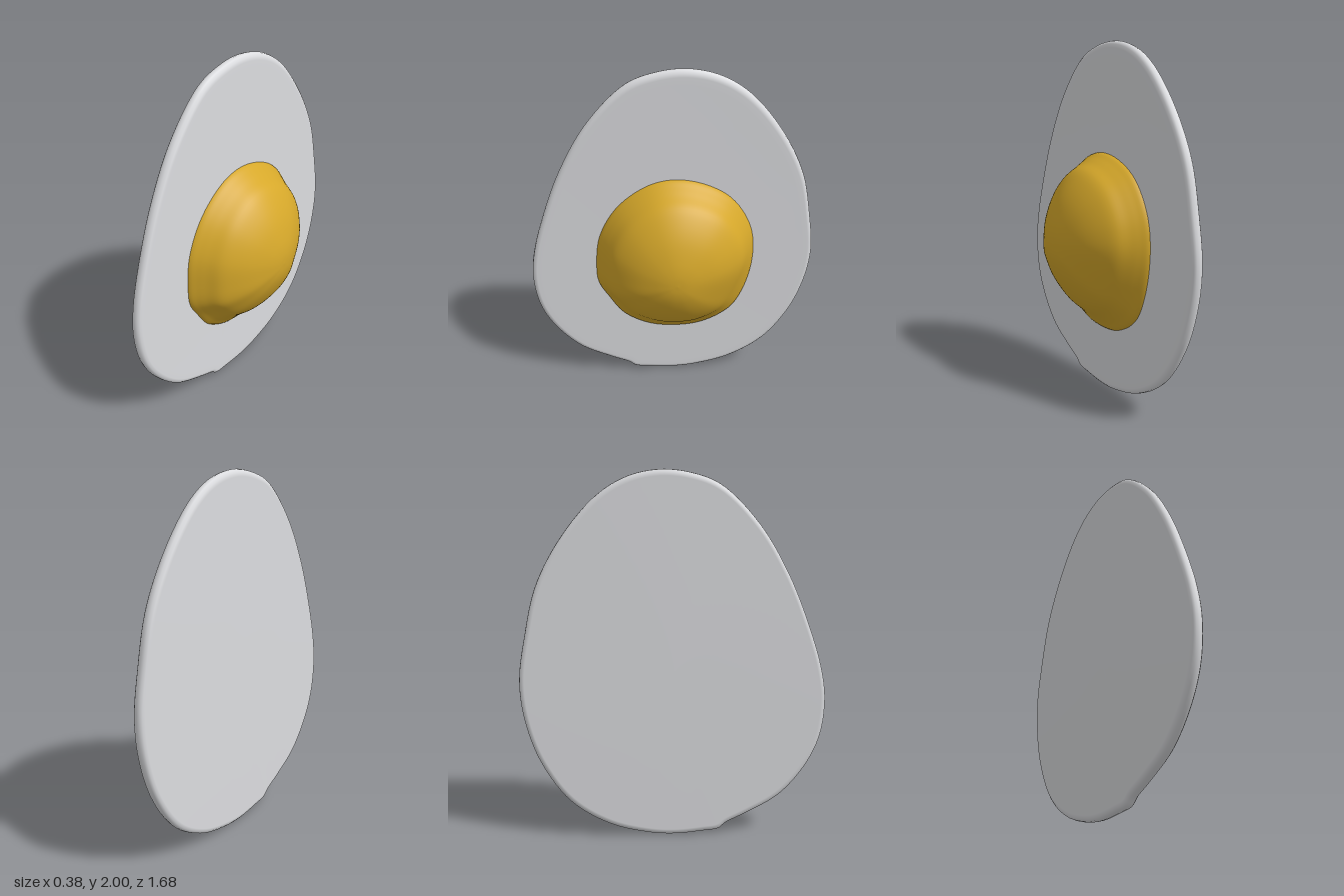
import * as THREE from 'three';

// Closed smooth outline through [z, y] points, counter-clockwise seen from +x
function outline(points, count) {
  const curve = new THREE.CatmullRomCurve3(
    points.map(([z, y]) => new THREE.Vector3(0, y, z)), true, 'centripetal');
  return curve.getPoints(count).slice(0, count);
}

// Skin rings running from -x to +x; every ring has the same number of points
function loft(rings) {
  const n = rings[0].length;
  const index = [];
  for (let i = 0; i < rings.length - 1; i++) {
    for (let j = 0; j < n; j++) {
      const k = (j + 1) % n;
      const a = i * n + j, b = i * n + k, c = a + n, d = b + n;
      index.push(a, b, d, a, d, c);
    }
  }
  const geometry = new THREE.BufferGeometry().setFromPoints(rings.flat());
  geometry.setIndex(index);
  geometry.computeVertexNormals();
  return geometry;
}

// Shrink an outline point toward a centre and place it at depth x
function shrink(p, centre, s, x) {
  return new THREE.Vector3(
    x, centre.y + (p.y - centre.y) * s, centre.z + (p.z - centre.z) * s);
}

export function createModel() {
  const group = new THREE.Group();
  group.name = 'friedEgg';
  const whiteMaterial = new THREE.MeshStandardMaterial({ color: 0xdcdde0 });
  whiteMaterial.name = 'eggWhite';
  const yolkMaterial = new THREE.MeshStandardMaterial({ color: 0xd6a82a });
  yolkMaterial.name = 'yolkYellow';

  // Egg white: thin upright slab with a rounded rim and a small nick at the bottom
  const whiteOutline = outline([
    [-0.08, 2.0], [0.09, 1.985], [0.25, 1.925], [0.46, 1.72], [0.62, 1.46], [0.735, 1.19],
    [0.815, 0.94], [0.84, 0.76], [0.815, 0.555], [0.735, 0.385], [0.59, 0.22],
    [0.405, 0.115], [0.29, 0.06], [0.25, 0.028], [0.165, 0.016], [0, 0.003],
    [-0.15, 0.016], [-0.365, 0.075], [-0.575, 0.21], [-0.735, 0.44], [-0.815, 0.68],
    [-0.835, 0.89], [-0.8, 1.13], [-0.735, 1.395], [-0.6, 1.645], [-0.415, 1.86],
    [-0.255, 1.96]], 180);
  const whiteCentre = new THREE.Vector3(0, 0.93, 0);
  const rim = [[0, -0.19], [0.965, -0.189], [0.983, -0.186], [0.996, -0.176], [1, -0.16],
    [0.996, -0.143], [0.983, -0.132], [0.965, -0.129], [0.93, -0.131], [0, -0.131]];
  const white = new THREE.Mesh(
    loft(rim.map(([s, x]) => whiteOutline.map(p => shrink(p, whiteCentre, s, x)))),
    whiteMaterial);
  white.name = 'eggWhite';
  group.add(white);

  // Yolk: dome over an uneven round base, slumping into a soft foot at the bottom
  const yolkOutline = outline([
    [-0.01, 1.39], [0.14, 1.36], [0.315, 1.235], [0.425, 1.05], [0.455, 0.865],
    [0.45, 0.73], [0.395, 0.62], [0.31, 0.49], [0.165, 0.4], [0, 0.37], [-0.18, 0.39],
    [-0.35, 0.49], [-0.43, 0.635], [-0.475, 0.865], [-0.45, 1.075], [-0.335, 1.26],
    [-0.18, 1.355]], 96);
  const yolkCentre = new THREE.Vector3(0, 0.89, 0);
  // [depth, radius at the top and sides, radius at the bottom]
  const dome = new THREE.CatmullRomCurve3([
    [-0.15, 1, 1], [-0.13, 1, 1], [-0.085, 0.945, 0.91], [-0.04, 0.885, 0.825],
    [0.02, 0.81, 0.725], [0.075, 0.68, 0.6], [0.13, 0.49, 0.43], [0.17, 0.27, 0.25],
    [0.186, 0.12, 0.12], [0.19, 0, 0]].map(v => new THREE.Vector3(...v)));
  const yolkRings = dome.getPoints(36).map(({ x, y: side, z: foot }) =>
    yolkOutline.map(p => {
      const angle = Math.atan2(p.y - yolkCentre.y, p.z - yolkCentre.z);
      const slump = THREE.MathUtils.smoothstep(-Math.sin(angle + 0.25), 0.1, 0.85);
      return shrink(p, yolkCentre, THREE.MathUtils.lerp(side, foot, slump), x);
    }));
  const yolk = new THREE.Mesh(loft(yolkRings), yolkMaterial);
  yolk.name = 'yolk';
  group.add(yolk);

  return group;
}
